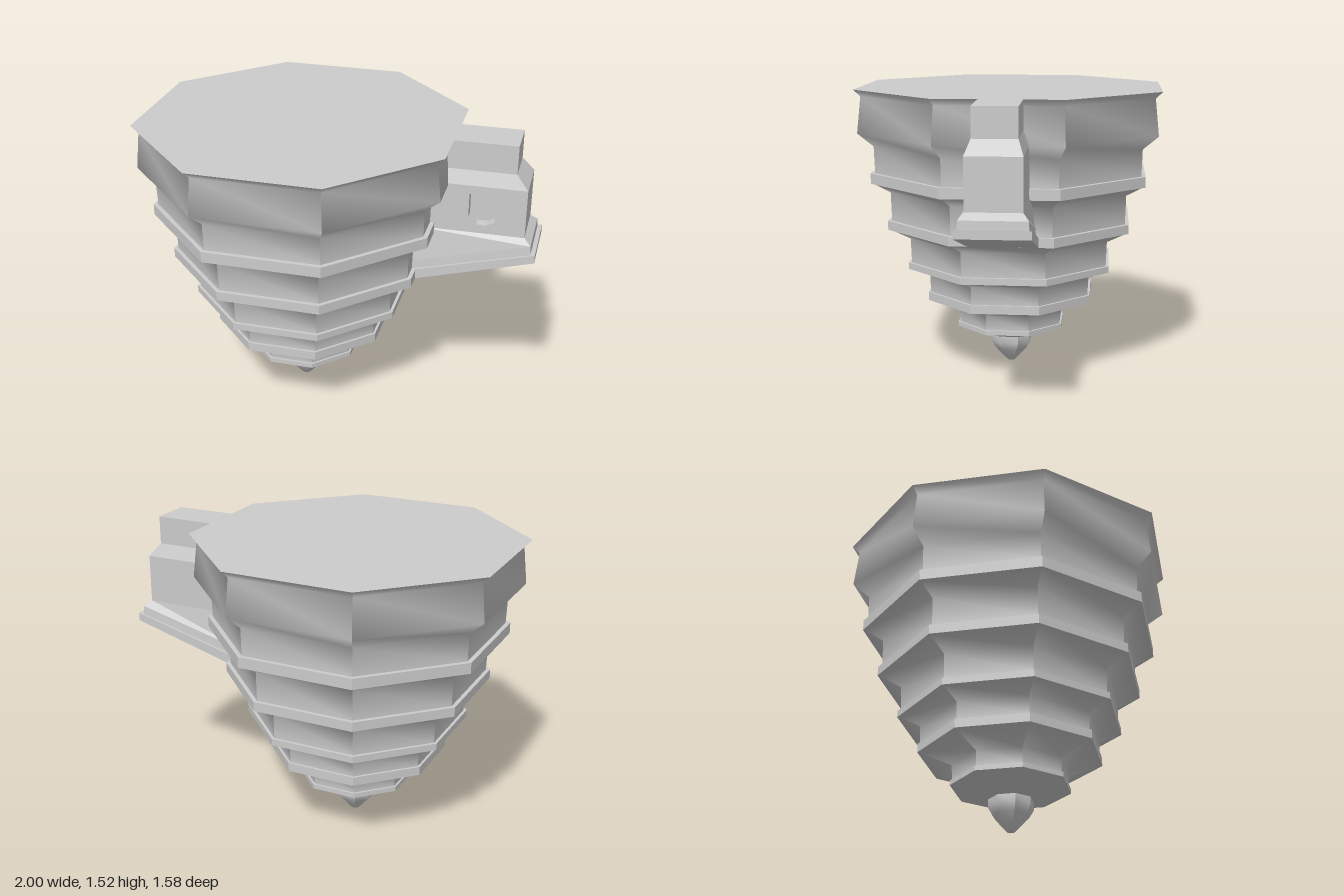
import * as THREE from 'three';
import { mergeGeometries, toCreasedNormals } from 'three/addons/utils/BufferGeometryUtils.js';

const grey = new THREE.MeshStandardMaterial({ color: 0xcccccc });
const CENTRE_X = -0.215;

function part(name, geometry, parent) {
  const mesh = new THREE.Mesh(geometry, grey);
  mesh.name = name;
  parent.add(mesh);
  return mesh;
}

// Octagonal turning: eight separate sides keep the upright edges sharp.
// Profile is [distance to flat side, y], from bottom to top.
function octagonal(profile) {
  const points = profile.map(([a, y]) => new THREE.Vector2(a / Math.cos(Math.PI / 8), y));
  const sides = [];
  for (let i = 0; i < 8; i++) {
    const side = new THREE.LatheGeometry(points, 1, 0.382 + i * Math.PI / 4, Math.PI / 4);
    sides.push(toCreasedNormals(side, 1.2));
  }
  return mergeGeometries(sides);
}

// Stack of rectangles; level = [yInner, yOuter, xInner, xOuter, zFront, zBack], top first.
function loft(levels) {
  const rings = levels.map(([yi, yo, xi, xo, zf, zb]) =>
    [[xi, yi, zf], [xo, yo, zf], [xo, yo, zb], [xi, yi, zb]]);
  const pos = [];
  const quad = (a, b, c, d) => pos.push(...a, ...b, ...c, ...a, ...c, ...d);
  quad(...rings[0]);
  for (let i = 0; i < rings.length - 1; i++) {
    for (let j = 0; j < 4; j++) {
      const k = (j + 1) % 4;
      quad(rings[i][j], rings[i + 1][j], rings[i + 1][k], rings[i][k]);
    }
  }
  quad(...rings[rings.length - 1].slice().reverse());
  const g = new THREE.BufferGeometry();
  g.setAttribute('position', new THREE.Float32BufferAttribute(pos, 3));
  g.computeVertexNormals();
  return g;
}

const shapeOf = (pts) => new THREE.Shape(pts.map(([x, y]) => new THREE.Vector2(x, y)));

export function createModel() {
  const model = new THREE.Group();
  model.name = 'steppedTurretBase';

  // Finial at the lowest point
  const tower = new THREE.Group();
  tower.name = 'tower';
  tower.position.x = CENTRE_X;
  model.add(tower);
  part('finial', octagonal([[0, 0], [0.018, 0.006], [0.04, 0.03], [0.085, 0.085], [0.105, 0.122], [0.105, 0.17]]), tower);

  // Stepped tiers: each has a projecting band, a wall above it and a sloped underside
  const tiers = [ // band y, band top y, band width, wall width, wall top y
    [0.225, 0.25, 0.28, 0.27, 0.33],
    [0.385, 0.43, 0.432, 0.42, 0.525],
    [0.565, 0.60, 0.53, 0.515, 0.73],
    [0.785, 0.833, 0.63, 0.61, 0.985],
    [1.035, 1.09, 0.71, 0.688, 1.23],
  ];
  const profile = [[0, 0.165], [0.105, 0.165]];
  for (const [y, top, band, wall, wallTop] of tiers) {
    profile.push([band - 0.012, y], [band, y], [band, top], [wall, top], [wall + 0.004, wallTop]);
  }
  // Cornice and flat cap
  profile.push([0.77, 1.30], [0.75, 1.49], [0.785, 1.525], [0, 1.525]);
  part('tiers', octagonal(profile), tower);

  // Side arm
  const arm = new THREE.Group();
  arm.name = 'sideArm';
  model.add(arm);
  part('armBody', loft([
    [1.525, 1.525, 0.56, 0.88, 0.103, -0.11],
    [1.38, 1.38, 0.50, 0.88, 0.103, -0.11],
    [1.31, 1.31, 0.42, 0.94, 0.13, -0.136],
    [1.31, 1.31, 0.42, 0.94, 0.075, -0.136],
    [1.06, 1.06, 0.36, 0.94, 0.075, -0.136],
    [1.06, 1.06, 0.36, 0.94, 0.13, -0.136],
    [0.86, 1.03, 0.32, 0.975, 0.155, -0.162],
    [0.805, 0.985, 0.32, 0.978, 0.158, -0.165],
  ]), arm);

  // Front panel of the arm with a small niche
  const panel = shapeOf([[0.42, 1.06], [0.94, 1.06], [0.94, 1.31], [0.42, 1.31]]);
  panel.holes.push(new THREE.Path([[0.66, 1.14], [0.66, 1.265], [0.79, 1.265], [0.79, 1.125], [0.75, 1.105], [0.70, 1.105]]
    .map(([x, y]) => new THREE.Vector2(x, y))));
  part('nichePanel', new THREE.ExtrudeGeometry(panel, { depth: 0.055, bevelEnabled: false }), arm)
    .position.z = 0.075;

  // Sloping plate beneath the arm
  const plate = shapeOf([[0.38, 0.775], [1, 0.95], [1, 0.992], [0.38, 0.828]]);
  part('armPlate', new THREE.ExtrudeGeometry(plate, { depth: 0.35, bevelEnabled: false }), arm)
    .position.z = -0.178;

  return model;
}
